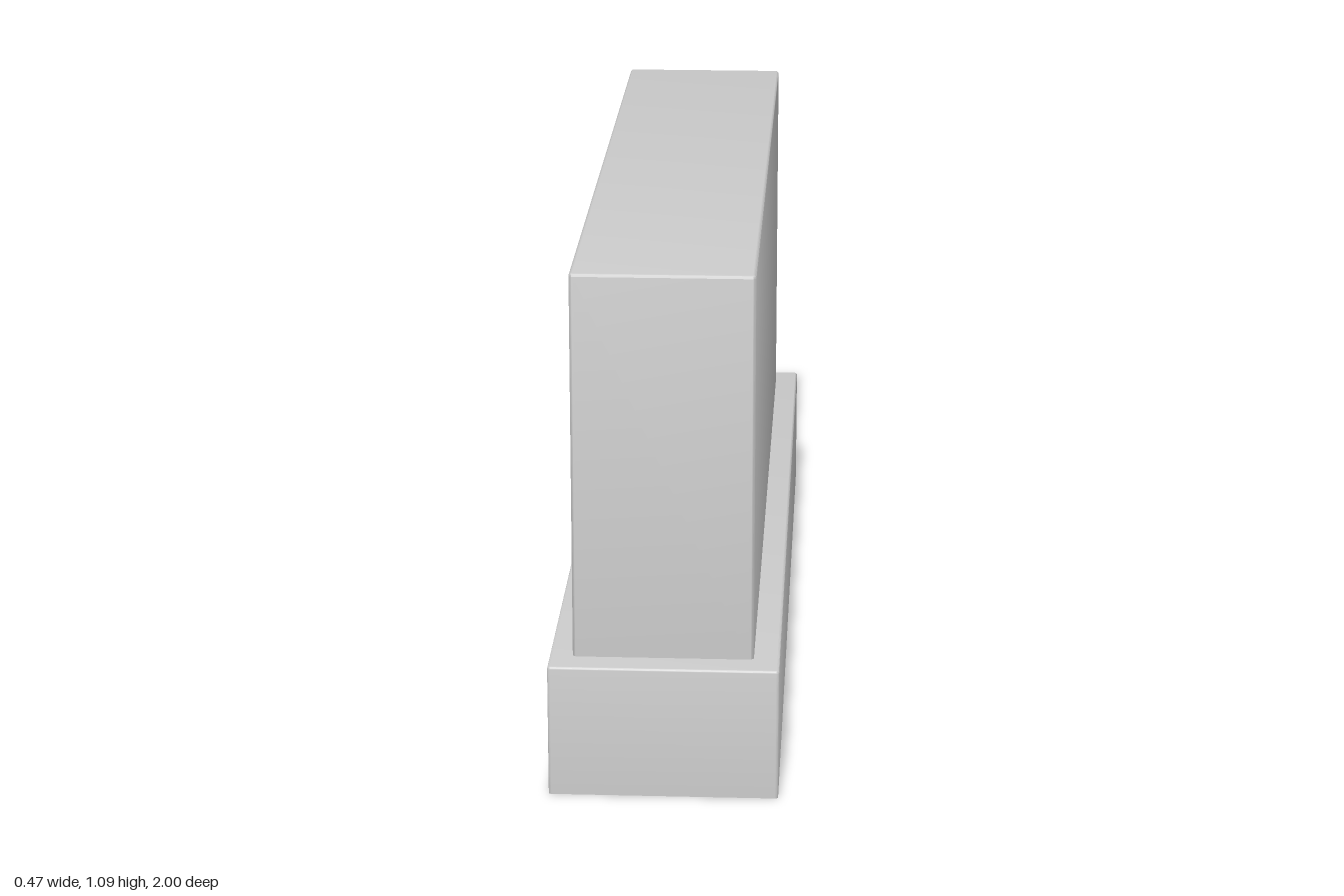
import * as THREE from 'three';
import { toCreasedNormals } from 'three/addons/utils/BufferGeometryUtils.js';

// Upright block with softened corners and top edge, and a sharp flat bottom at y = 0
function blockGeometry(width, height, depth, corner, bevel) {
  const x = width / 2, z = depth / 2;
  const shape = new THREE.Shape();
  shape.absarc(x - corner, z - corner, corner, 0, Math.PI / 2);
  shape.absarc(corner - x, z - corner, corner, Math.PI / 2, Math.PI);
  shape.absarc(corner - x, corner - z, corner, Math.PI, Math.PI * 1.5);
  shape.absarc(x - corner, corner - z, corner, Math.PI * 1.5, Math.PI * 2);
  shape.closePath();

  const geometry = new THREE.ExtrudeGeometry(shape, {
    depth: height - 2 * bevel, curveSegments: 4,
    bevelSize: bevel, bevelThickness: bevel, bevelOffset: -bevel, bevelSegments: 3,
  });
  geometry.rotateX(-Math.PI / 2).translate(0, bevel, 0);

  // Flatten the lower bevel into the underside
  const position = geometry.attributes.position;
  for (let i = 0; i < position.count; i++) {
    if (position.getY(i) < bevel * 1.01) position.setY(i, 0);
  }
  return toCreasedNormals(geometry, 0.7);
}

export function createModel() {
  const model = new THREE.Group();
  model.name = 'blockOnPlinth';
  const material = new THREE.MeshStandardMaterial({ color: 0xcccccc });

  // Wide low plinth
  const plinth = new THREE.Mesh(blockGeometry(0.47, 0.28, 2, 0.006, 0.005), material);
  plinth.name = 'plinth';

  // Tall slab standing on the plinth
  const slab = new THREE.Mesh(blockGeometry(0.37, 0.81, 1.88, 0.01, 0.006), material);
  slab.name = 'slab';
  slab.position.set(-0.003, 0.28, 0);

  model.add(plinth, slab);
  return model;
}
